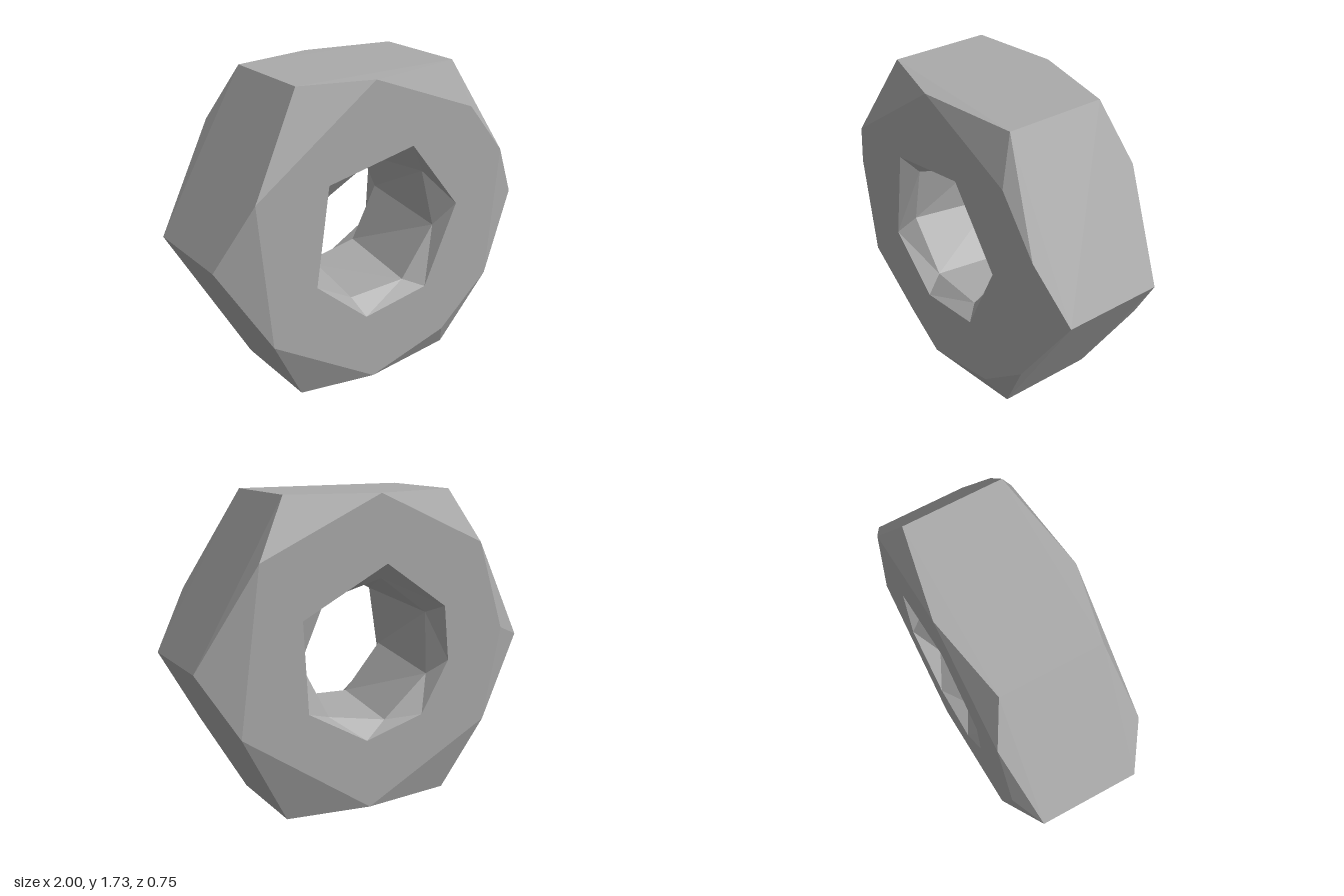
import * as THREE from 'three';

const CENTRE_Y = 0.866;
const FACE_Z = 0.375;   // flat front and back faces
const EDGE_Z = 0.28;    // where the bevels meet the sides and the bore

// Regular ring of n points, counter-clockwise seen from +z
function polygon(n, radius, startDeg, z) {
  return Array.from({ length: n }, (_, i) => {
    const a = THREE.MathUtils.degToRad(startDeg) + (i / n) * Math.PI * 2;
    return new THREE.Vector3(Math.cos(a) * radius, CENTRE_Y + Math.sin(a) * radius, z);
  });
}

// Irregular ring from x, y pairs listed counter-clockwise
function ring(points, z) {
  return points.map(([x, y]) => new THREE.Vector3(x, y, z));
}

// Join two closed rings of any point counts, always taking the shorter diagonal
function stitch(a, b, out) {
  let start = 0;
  b.forEach((p, i) => {
    if (p.distanceTo(a[0]) < b[start].distanceTo(a[0])) start = i;
  });
  const A = (i) => a[i % a.length];
  const B = (j) => b[(start + j) % b.length];
  let i = 0, j = 0;
  while (i < a.length || j < b.length) {
    const stepA = j >= b.length ||
      (i < a.length && A(i + 1).distanceTo(B(j)) <= A(i).distanceTo(B(j + 1)));
    if (stepA) {
      out.push(A(i), A(i + 1), B(j));
      i++;
    } else {
      out.push(A(i), B(j + 1), B(j));
      j++;
    }
  }
}

function part(name, rings, material) {
  const points = [];
  for (let k = 0; k + 1 < rings.length; k++) stitch(rings[k], rings[k + 1], points);
  const geometry = new THREE.BufferGeometry().setFromPoints(points);
  geometry.computeVertexNormals();
  const mesh = new THREE.Mesh(geometry, material);
  mesh.name = name;
  return mesh;
}

export function createModel() {
  const steel = new THREE.MeshStandardMaterial({ color: 0xaaaaaa, flatShading: true });
  steel.name = 'steel grey';

  // Hexagonal body corners
  const hexFront = polygon(6, 1, 0, EDGE_Z);
  const hexBack = polygon(6, 1, 0, -EDGE_Z);

  // Hand-cut outlines of the flat faces
  const faceFront = ring([[0.81, 1.19], [0.57, 1.48], [-0.08, 1.725], [-0.8, 1.21],
    [-0.72, 0.4], [-0.08, 0.01], [0.42, 0.15], [0.74, 0.43]], FACE_Z);
  const faceBack = ring([[0.675, 1.41], [-0.02, 1.73], [-0.66, 1.44], [-0.82, 0.94],
    [-0.71, 0.41], [0.04, 0.015], [0.79, 0.52]], -FACE_Z);

  // Chipped rims of the hole
  const rimFront = ring([[0.49, 0.93], [0.17, 1.33], [-0.37, 1.22], [-0.45, 0.67],
    [-0.13, 0.4], [0.28, 0.47]], FACE_Z);
  const rimBack = ring([[0.44, 1.1], [-0.06, 1.36], [-0.43, 1.1], [-0.46, 0.79],
    [-0.29, 0.5], [0.06, 0.4], [0.41, 0.6]], -FACE_Z);

  // Slightly twisted seven-sided bore
  const boreFront = polygon(7, 0.41, -11, EDGE_Z);
  const boreBack = polygon(7, 0.41, -2, -EDGE_Z);

  const nut = new THREE.Group();
  nut.name = 'hexNut';
  nut.add(
    part('sides', [hexBack, hexFront], steel),
    part('frontBevel', [hexFront, faceFront], steel),
    part('frontFace', [faceFront, rimFront], steel),
    part('bore', [rimFront, boreFront, boreBack, rimBack], steel),
    part('backFace', [rimBack, faceBack], steel),
    part('backBevel', [faceBack, hexBack], steel),
  );
  return nut;
}
